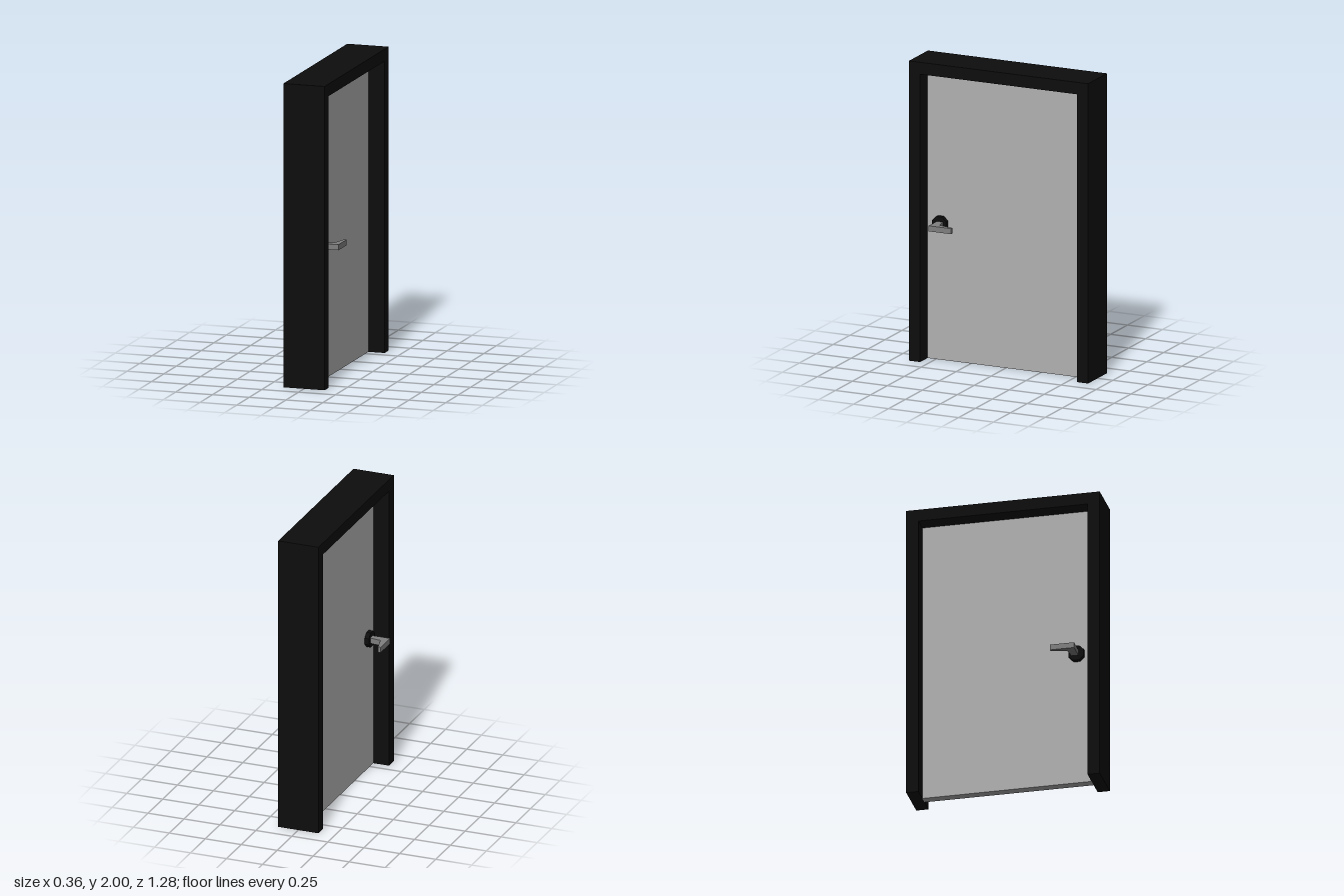
import * as THREE from 'three';

export function createModel() {
  const door = new THREE.Group();
  door.name = 'door';
  const mat = (name, color) => {
    const m = new THREE.MeshStandardMaterial({ color });
    m.name = name;
    return m;
  };
  const black = mat('black', 0x0d0d0d);
  const lightGrey = mat('light grey', 0xb2b2b2);
  const midGrey = mat('mid grey', 0x808080);

  const add = (parent, name, geometry, material) => {
    const mesh = new THREE.Mesh(geometry, material);
    mesh.name = name;
    parent.add(mesh);
    return mesh;
  };
  const shapeOf = (pts) => new THREE.Shape(pts.map(([a, b]) => new THREE.Vector2(a, b)));

  // Frame: two jambs and a header, open at the floor
  const frameGeo = new THREE.ExtrudeGeometry(
    shapeOf([[-0.64, 0], [-0.56, 0], [-0.56, 1.92], [0.56, 1.92], [0.56, 0], [0.64, 0], [0.64, 2], [-0.64, 2]]),
    { depth: 0.28, bevelEnabled: false }
  );
  frameGeo.translate(0, 0, -0.14).rotateY(Math.PI / 2);
  add(door, 'frame', frameGeo, black);

  // Door leaf
  const leaf = add(door, 'leaf', new THREE.BoxGeometry(0.06, 1.92, 1.12), lightGrey);
  leaf.position.y = 0.96;

  // Handles, one on each side of the leaf
  const handleY = 0.91;
  for (const side of [1, -1]) {
    const handle = new THREE.Group();
    handle.name = side > 0 ? 'leftHandle' : 'rightHandle';
    handle.position.y = handleY;
    door.add(handle);

    // Octagonal rosette with flats at top and bottom
    const rosetteGeo = new THREE.CylinderGeometry(0.055, 0.055, 0.03, 8);
    rosetteGeo.rotateY(Math.PI / 8).rotateZ(Math.PI / 2);
    const rosette = add(handle, 'rosette', rosetteGeo, black);
    rosette.material.flatShading = true;
    rosette.position.set(side * 0.045, 0, 0.464);

    // Neck and tapered lever in one bent outline, drawn in x and -z
    const outline = [[0.03, -0.48], [0.18, -0.48], [0.18, -0.32], [0.16, -0.32], [0.135, -0.425], [0.03, -0.44]];
    const leverGeo = new THREE.ExtrudeGeometry(
      shapeOf(outline.map(([x, z]) => [side * x, z])),
      { depth: 0.037, bevelEnabled: false }
    );
    leverGeo.translate(0, 0, -0.0185).rotateX(-Math.PI / 2);
    add(handle, 'lever', leverGeo, midGrey);
  }
  return door;
}
